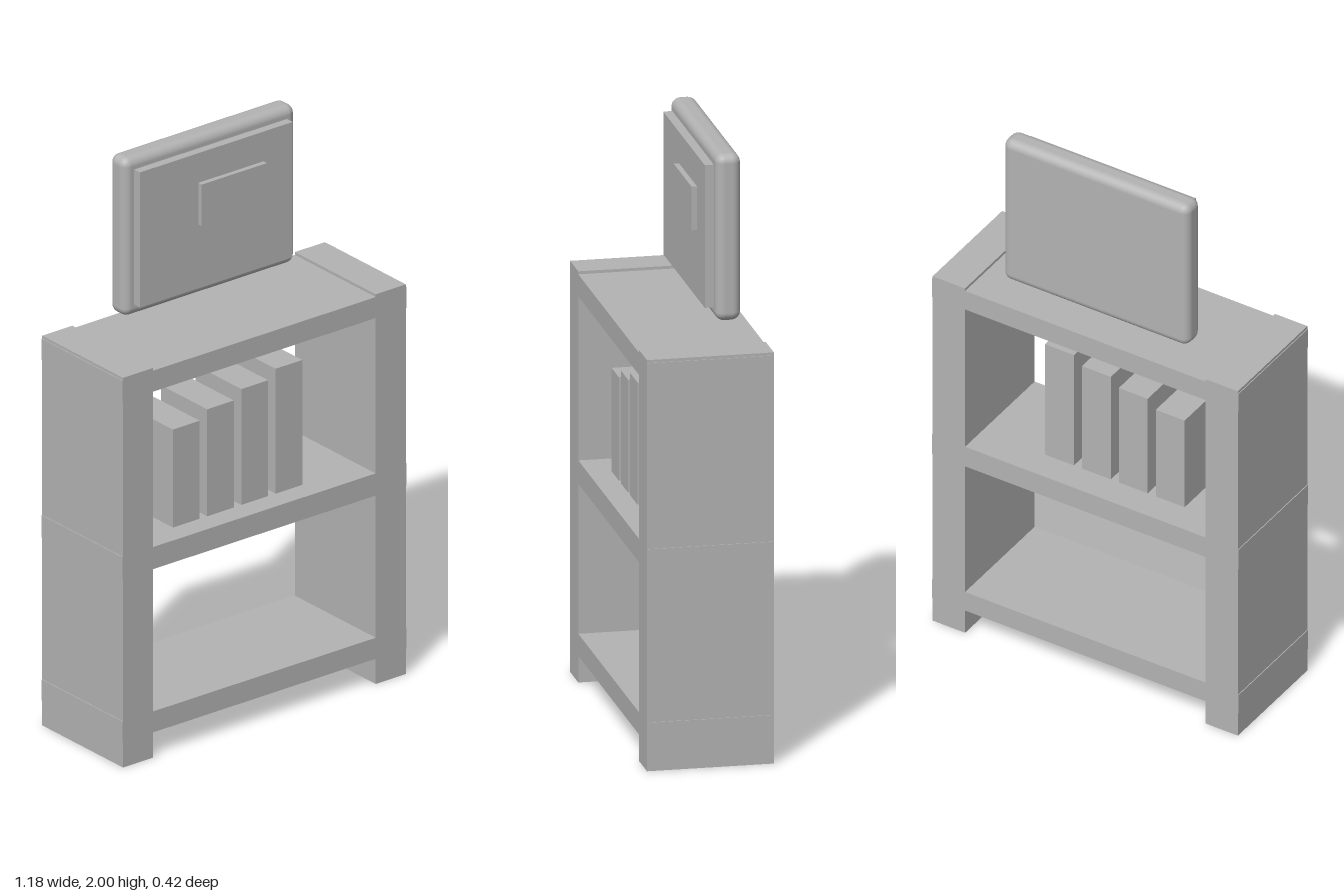
import * as THREE from 'three';
import { RoundedBoxGeometry } from 'three/addons/geometries/RoundedBoxGeometry.js';

const grey = new THREE.MeshStandardMaterial({ color: 0xb3b3b3 });
grey.name = 'grey';

// Box given by its lower and upper bounds on each axis
function box(name, [x0, x1], [y0, y1], [z0, z1], radius = 0) {
  const size = [x1 - x0, y1 - y0, z1 - z0];
  const geometry = radius
    ? new RoundedBoxGeometry(...size, 3, radius)
    : new THREE.BoxGeometry(...size);
  const mesh = new THREE.Mesh(geometry, grey);
  mesh.name = name;
  mesh.position.set((x0 + x1) / 2, (y0 + y1) / 2, (z0 + z1) / 2);
  return mesh;
}

export function createModel() {
  const model = new THREE.Group();
  model.name = 'shelfUnit';

  // Upright side panels
  const depth = [-0.211, 0.211];
  model.add(box('rightSide', [-0.587, -0.462], [0, 1.392], depth));
  model.add(box('leftSide', [0.462, 0.587], [0, 1.392], depth));

  // Shelves, their ends standing slightly proud of the sides
  [['bottomShelf', 0.09, 0.165], ['middleShelf', 0.673, 0.752], ['topShelf', 1.307, 1.382]]
    .forEach(([name, y0, y1]) => model.add(box(name, [-0.59, 0.59], [y0, y1], depth)));

  // Row of books growing taller to one side
  for (let i = 0; i < 4; i++) {
    const x = -0.317 + i * 0.142;
    model.add(box('book' + (i + 1), [x, x + 0.111], [0.752, 1.102 + i * 0.032], [-0.108, 0.132]));
  }

  // Floating screen: rounded case, display and raised window
  const screen = new THREE.Group();
  screen.name = 'screen';
  screen.add(box('screenCase', [-0.357, 0.357], [1.435, 2], [-0.154, -0.07], 0.03));
  screen.add(box('display', [-0.317, 0.317], [1.476, 1.959], [-0.08, -0.04]));
  screen.add(box('displayWindow', [-0.075, 0.196], [1.705, 1.853], [-0.045, -0.022]));
  model.add(screen);

  return model;
}
